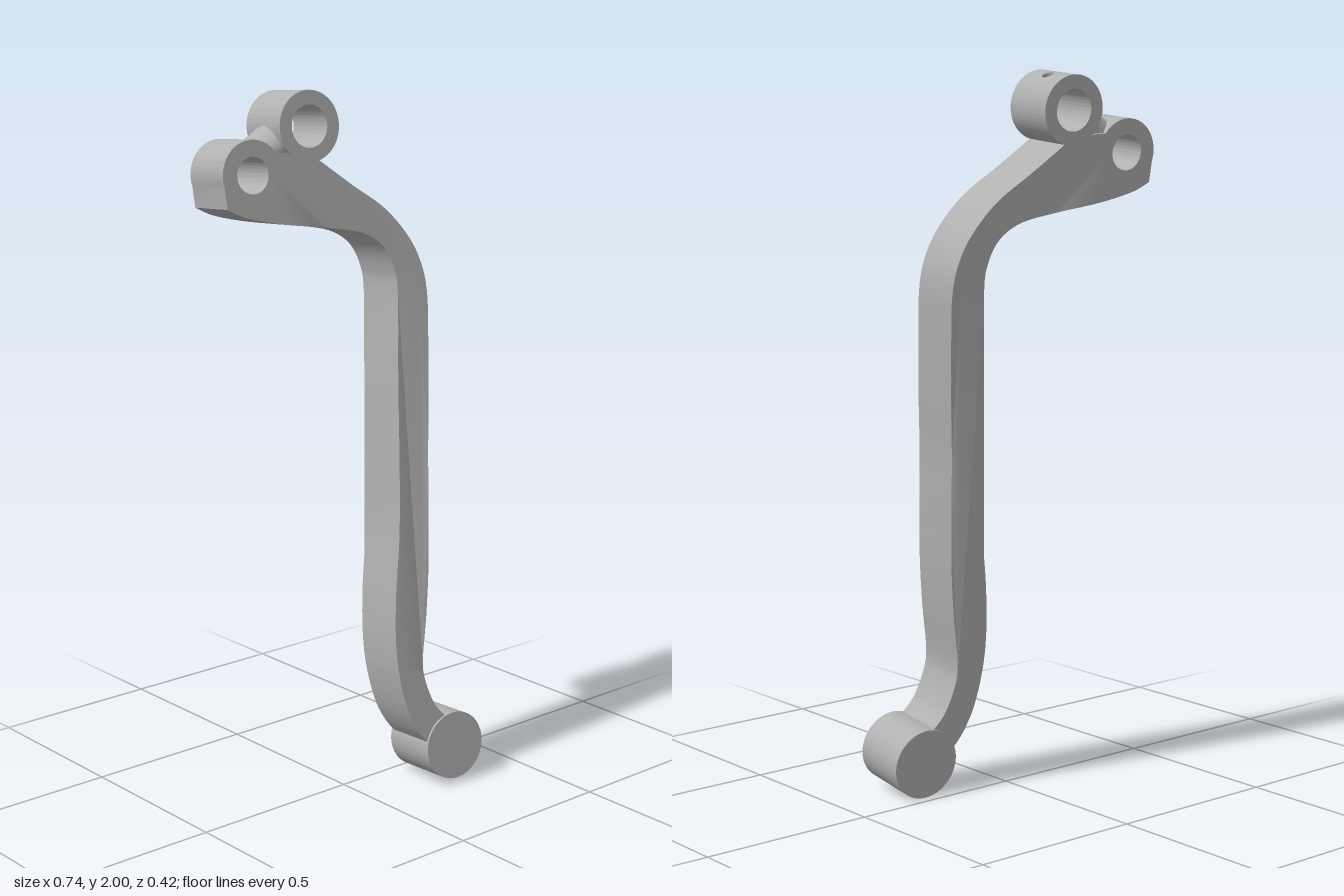
import * as THREE from 'three';
import { toCreasedNormals } from 'three/addons/utils/BufferGeometryUtils.js';

const BACK = -0.012, FRONT = 0.147; // thickness range along the pivot axis
const LEFT_EYE = { x: -0.28, y: 1.79, r: 0.093, hole: 0.049 };
const TOP_EYE = { x: -0.092, y: 1.905, r: 0.095, hole: 0.057 };
const FOOT = { x: 0.26, y: 0.114, r: 0.098 };

// Leans the flat-built lever so its pivot axis points slightly up and sideways
const T = 0.09, REF = 0.15;
const lean = new THREE.Matrix4().set(
  1, 0, -T, T * REF,
  0, 1, T, -T * REF,
  T, -T, 1, 0,
  0, 0, 0, 1);

const pts = (list) => list.map(([x, y]) => new THREE.Vector2(x, y));
const extrude = (shape, depth, z, curveSegments = 32) =>
  new THREE.ExtrudeGeometry(shape, { depth, bevelEnabled: false, curveSegments }).translate(0, 0, z);

export function createModel() {
  const group = new THREE.Group();
  const metal = new THREE.MeshStandardMaterial({ color: 0xb0b0b0 });
  metal.name = 'grey metal';

  function add(name, geometry) {
    const mesh = new THREE.Mesh(toCreasedNormals(geometry, 0.6).applyMatrix4(lean), metal);
    mesh.name = name;
    group.add(mesh);
  }

  // Lever arm with the left eye in one plate
  const inner = new THREE.SplineCurve(pts([
    [-0.365, 1.708], [-0.31, 1.682], [-0.2, 1.655], [-0.045, 1.63], [0.06, 1.607], [0.125, 1.565],
    [0.157, 1.5], [0.162, 1.42], [0.14, 1.18], [0.125, 0.97], [0.109, 0.76], [0.087, 0.6],
    [0.077, 0.467], [0.082, 0.36], [0.104, 0.255], [0.135, 0.186], [0.167, 0.143]]));
  const outer = new THREE.SplineCurve(pts([
    [0.235, 0.208], [0.2, 0.25], [0.172, 0.324], [0.167, 0.387], [0.188, 0.52], [0.204, 0.653],
    [0.215, 0.81], [0.225, 0.97], [0.241, 1.13], [0.257, 1.316], [0.263, 1.42], [0.252, 1.5],
    [0.215, 1.58], [0.14, 1.666], [0.034, 1.74], [-0.077, 1.82]]));
  const eyeArc = new THREE.EllipseCurve(LEFT_EYE.x, LEFT_EYE.y, LEFT_EYE.r, LEFT_EYE.r, 0.6, 3.4);
  const outline = new THREE.Shape([
    ...eyeArc.getPoints(28), ...inner.getPoints(80), new THREE.Vector2(0.25, 0.12),
    ...outer.getPoints(80), ...pts([[-0.1, 1.825], [-0.14, 1.827], [-0.165, 1.84]])]);
  outline.holes.push(new THREE.Path().absarc(LEFT_EYE.x, LEFT_EYE.y, LEFT_EYE.hole, 0, Math.PI * 2, true));
  const arm = extrude(outline, FRONT - BACK, BACK);
  const p = arm.attributes.position;
  for (let i = 0; i < p.count; i++) { // the arm drifts forward on its way down
    p.setZ(i, p.getZ(i) + 0.026 * (1 - THREE.MathUtils.smoothstep(p.getY(i), 0.8, 1.75)));
  }
  add('leverArm', arm);

  // Upper eye: open ring plus a bent panel carrying the small screw hole
  const mid = 1.18, half = 0.28;
  const ring = new THREE.Shape()
    .absarc(TOP_EYE.x, TOP_EYE.y, TOP_EYE.r, mid + half, mid - half + Math.PI * 2, false)
    .absarc(TOP_EYE.x, TOP_EYE.y, TOP_EYE.hole, mid - half + Math.PI * 2, mid + half, true);
  add('upperEye', extrude(ring, FRONT - BACK, BACK, 48));

  const edge = [-1, -0.5, 0, 0.5, 1].map((k) => k * half);
  const panel = new THREE.Shape([
    ...edge.map((u) => new THREE.Vector2(u, BACK)),
    ...[...edge].reverse().map((u) => new THREE.Vector2(u, FRONT))]);
  panel.holes.push(new THREE.Path().absellipse(0, 0.066, 0.017 / TOP_EYE.r, 0.017, 0, Math.PI * 2, true));
  const bent = extrude(panel, TOP_EYE.r - TOP_EYE.hole, TOP_EYE.hole, 10);
  const q = bent.attributes.position;
  for (let i = 0; i < q.count; i++) {
    const a = mid + q.getX(i), r = q.getZ(i);
    q.setXYZ(i, TOP_EYE.x + r * Math.cos(a), TOP_EYE.y + r * Math.sin(a), q.getY(i));
  }
  add('screwHolePanel', bent);

  // Round bridge between the two eyes
  const dx = TOP_EYE.x - LEFT_EYE.x, dy = TOP_EYE.y - LEFT_EYE.y, gap = Math.hypot(dx, dy);
  const bridge = new THREE.CylinderGeometry(0.055, 0.055, gap - 0.143, 32)
    .scale(1, 1, 1.22)
    .rotateZ(Math.atan2(dy, dx) - Math.PI / 2)
    .translate((TOP_EYE.x + LEFT_EYE.x) / 2, (TOP_EYE.y + LEFT_EYE.y) / 2, 0.067);
  add('eyeBridge', bridge);

  // Solid round foot
  const foot = new THREE.CylinderGeometry(FOOT.r, FOOT.r, 0.175, 56)
    .rotateX(Math.PI / 2)
    .translate(FOOT.x, FOOT.y, 0.0925);
  add('foot', foot);

  return group;
}
